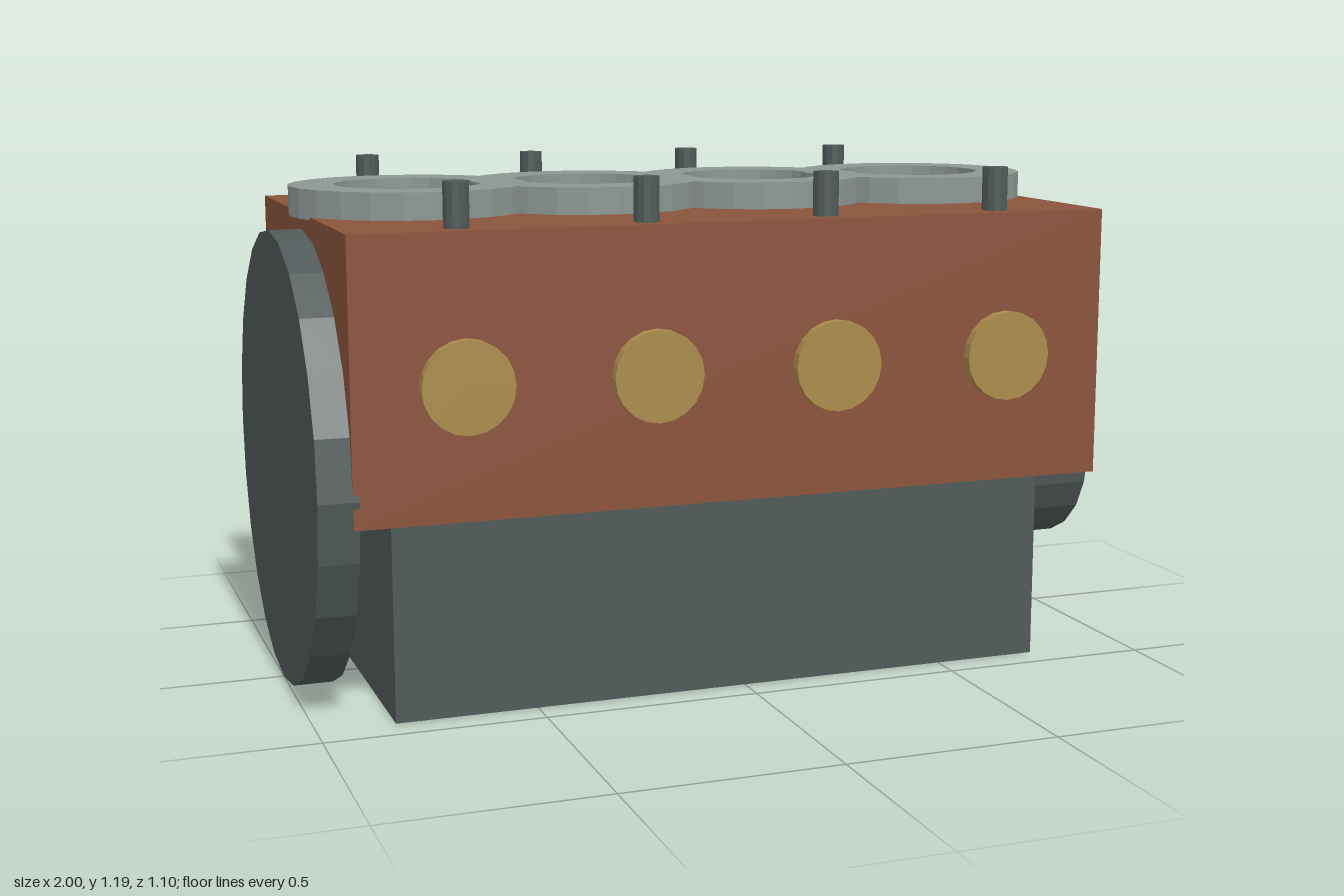
import * as THREE from 'three';

const mat = (name, color) => {
  const m = new THREE.MeshStandardMaterial({ color, flatShading: true });
  m.name = name;
  return m;
};

export function createModel() {
  const group = new THREE.Group();
  const rust = mat('rust paint', 0x8a533b);
  const steel = mat('dark steel', 0x505a59);
  const alloy = mat('light alloy', 0x8c9693);
  const brass = mat('brass', 0xab8b4b);
  const dark = mat('bore black', 0x2d2d36);

  const add = (name, geometry, material, x, y, z) => {
    const mesh = new THREE.Mesh(geometry, material);
    mesh.name = name;
    mesh.position.set(x, y, z);
    group.add(mesh);
    return mesh;
  };
  const disc = (r, h, sides) => new THREE.CylinderGeometry(r, r, h, sides);

  // Engine block over the narrower sump
  add('block', new THREE.BoxGeometry(1.775, 0.625, 1.05), rust, -0.0375, 0.7775, 0);
  add('sump', new THREE.BoxGeometry(1.575, 0.47, 0.856), steel, -0.0375, 0.235, 0);

  // Flywheel and crank pulley, both turning about x
  add('flywheel', disc(0.527, 0.09, 24).rotateZ(Math.PI / 2), steel, -0.955, 0.527, 0);
  add('crankPulley', disc(0.248, 0.15, 20).rotateZ(Math.PI / 2), steel, 0.925, 0.446, 0);

  // Cylinder collar, a flat ring with a square section
  const collar = new THREE.LatheGeometry(
    [[0.17, 0], [0.275, 0], [0.275, 0.068], [0.17, 0.068], [0.17, 0]].map(([r, y]) => new THREE.Vector2(r, y)), 24);
  const bore = disc(0.171, 0.04, 24);
  const stud = disc(0.029, 0.12, 12);
  const port = disc(0.103, 0.05, 20).rotateX(Math.PI / 2);

  // Four cylinders, each with studs and ports on both sides
  for (let i = 0; i < 4; i++) {
    const x = -0.676 + i * 0.426;
    add('cylinderCollar', collar, alloy, x, 1.084, 0);
    add('cylinderBore', bore, dark, x, 1.078, 0);
    for (const side of [-1, 1]) {
      add('headStud', stud, steel, x, 1.13, side * 0.461);
      add('sidePort', port, brass, x, 0.76, side * 0.525);
    }
  }
  return group;
}
